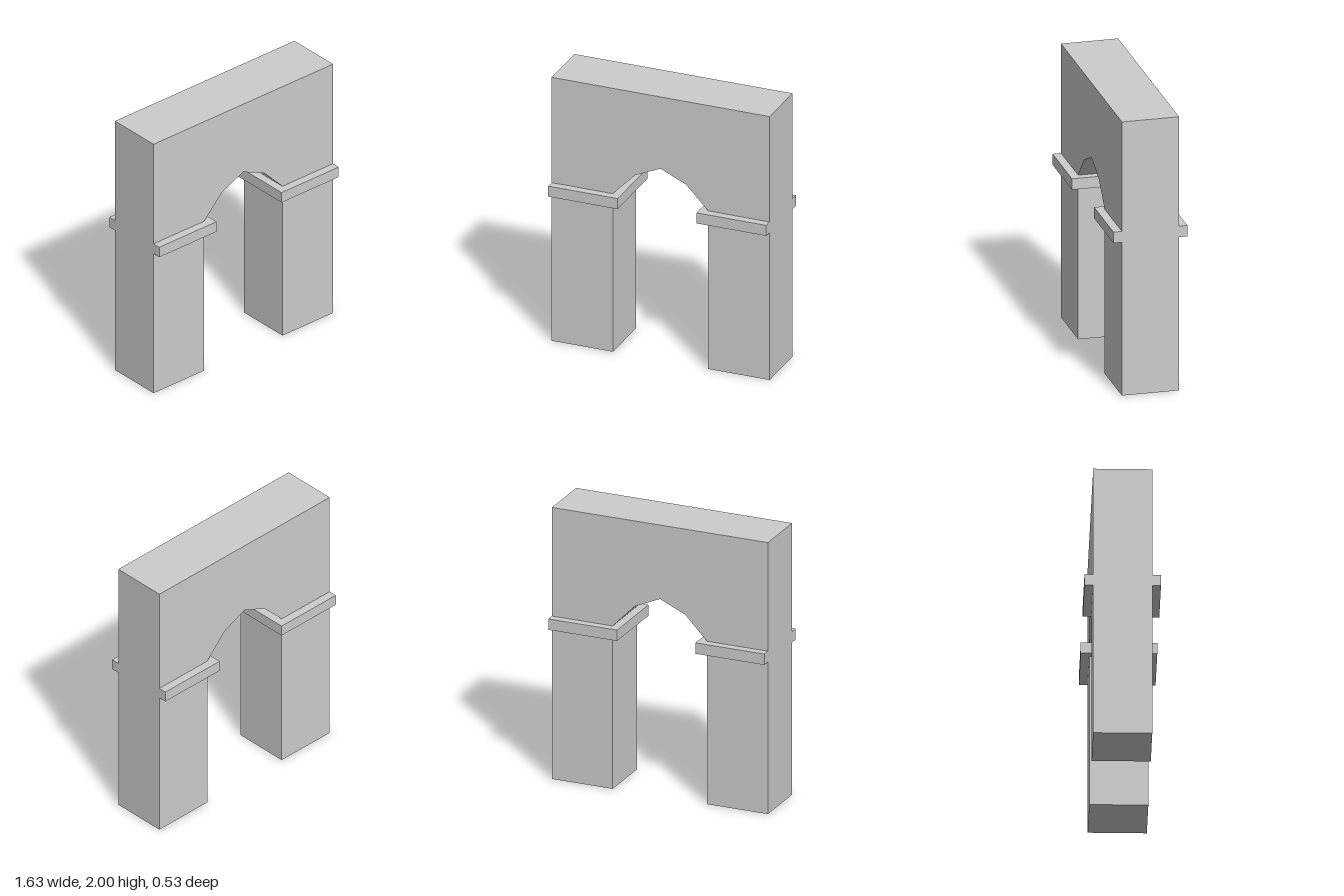
import * as THREE from 'three';
import { toCreasedNormals } from 'three/addons/utils/BufferGeometryUtils.js';

const HALF_WIDTH = 0.813, HALF_DEPTH = 0.203, HEIGHT = 2;
const OPENING = 0.355;              // half width of the passage
const BAND_BOTTOM = 1.12, SPRING = 1.2;
const OVERHANG = 0.06;              // how far the bands stand out

const material = new THREE.MeshStandardMaterial({ color: 0xcccccc });

const shapeOf = (points) => new THREE.Shape(points.map(([x, y]) => new THREE.Vector2(x, y)));

function addMesh(parent, geometry, name) {
  const mesh = new THREE.Mesh(geometry, material);
  mesh.name = name;
  parent.add(mesh);
  return mesh;
}

export function createModel() {
  const group = new THREE.Group();
  group.name = 'archway';

  // Wall with two piers and a faceted pointed arch
  const half = [[HALF_WIDTH, HEIGHT], [HALF_WIDTH, 0], [OPENING, 0], [OPENING, SPRING], [0.19, 1.37]];
  const mirrored = half.map(([x, y]) => [-x, y]).reverse();
  const wall = new THREE.ExtrudeGeometry(shapeOf([...half, [0, 1.455], ...mirrored]), {
    depth: HALF_DEPTH * 2, bevelEnabled: false,
  });
  wall.translate(0, 0, -HALF_DEPTH);
  // Soft shading along each side of the arch, sharp at its peak
  addMesh(group, toCreasedNormals(wall, 0.5), 'archWall');

  // U-shaped band round each pier, flush with the outer end of the wall
  const inner = OPENING - OVERHANG, outerZ = HALF_DEPTH + OVERHANG;
  const band = new THREE.ExtrudeGeometry(shapeOf([
    [HALF_WIDTH, -outerZ], [HALF_WIDTH, -HALF_DEPTH], [OPENING, -HALF_DEPTH], [OPENING, HALF_DEPTH],
    [HALF_WIDTH, HALF_DEPTH], [HALF_WIDTH, outerZ], [inner, outerZ], [inner, -outerZ],
  ]), { depth: SPRING - BAND_BOTTOM, bevelEnabled: false });
  band.rotateX(-Math.PI / 2);
  band.translate(0, BAND_BOTTOM, 0);
  addMesh(group, band, 'leftPierBand');
  addMesh(group, band, 'rightPierBand').rotation.y = Math.PI;

  return group;
}
